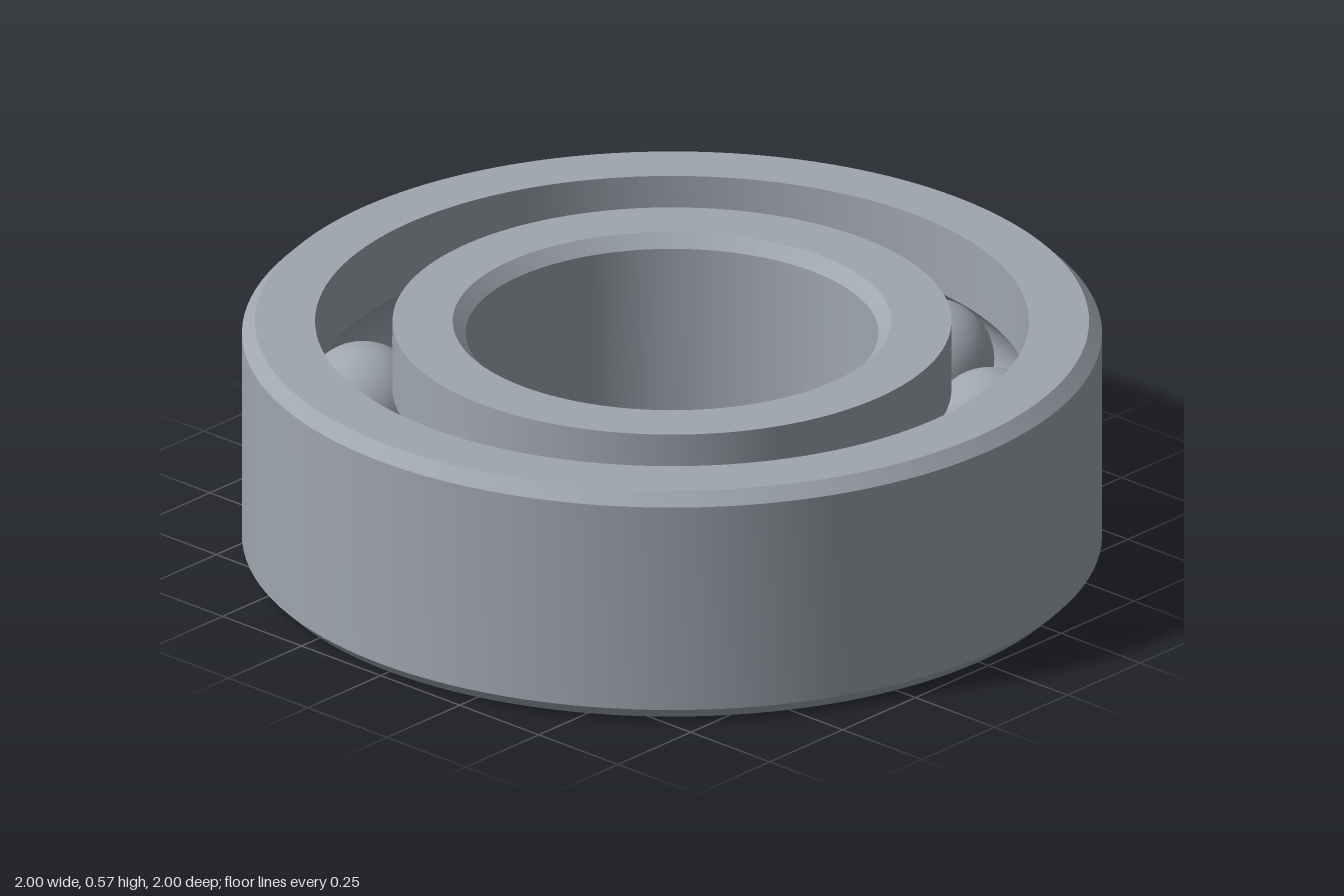
import * as THREE from 'three';
import { toCreasedNormals } from 'three/addons/utils/BufferGeometryUtils.js';

const HEIGHT = 0.575, MID = HEIGHT / 2, CHAMFER = 0.03;
const OUTER_R = 1, OUTER_INNER_R = 0.83;
const INNER_OUTER_R = 0.65, BORE_R = 0.48;
const PITCH_R = 0.74, BALL_R = 0.144, GROOVE_R = 0.146, BALLS = 11;

// Arc of the ball groove, cut into a wall of radius wallR; side +1 bulges outward, -1 inward.
// Runs downward for side +1 and upward for side -1.
function groove(wallR, side, steps = 16) {
  const half = Math.acos(Math.abs(wallR - PITCH_R) / GROOVE_R);
  const points = [];
  for (let i = 0; i <= steps; i++) {
    const a = half - (2 * half * i) / steps;
    points.push([PITCH_R + side * GROOVE_R * Math.cos(a), MID + side * GROOVE_R * Math.sin(a)]);
  }
  return points;
}

// Revolves a counter-clockwise (radius, y) section, keeping the hard edges sharp.
function ring(name, section, material) {
  const points = [...section, section[0]].map(([r, y]) => new THREE.Vector2(r, y));
  const geometry = toCreasedNormals(new THREE.LatheGeometry(points, 128), 0.5);
  const mesh = new THREE.Mesh(geometry, material);
  mesh.name = name;
  return mesh;
}

export function createModel() {
  const model = new THREE.Group();
  model.name = 'ballBearing';
  const steel = new THREE.MeshStandardMaterial({ color: 0x9fa6b0 });
  steel.name = 'steel';

  // Outer race, chamfered on its outside edges
  model.add(ring('outerRace', [
    [OUTER_INNER_R, 0],
    [OUTER_R - CHAMFER, 0],
    [OUTER_R, CHAMFER],
    [OUTER_R, HEIGHT - CHAMFER],
    [OUTER_R - CHAMFER, HEIGHT],
    [OUTER_INNER_R, HEIGHT],
    ...groove(OUTER_INNER_R, 1),
  ], steel));

  // Inner race, chamfered around the bore
  model.add(ring('innerRace', [
    [BORE_R + CHAMFER, 0],
    [INNER_OUTER_R, 0],
    ...groove(INNER_OUTER_R, -1),
    [INNER_OUTER_R, HEIGHT],
    [BORE_R + CHAMFER, HEIGHT],
    [BORE_R, HEIGHT - CHAMFER],
    [BORE_R, CHAMFER],
  ], steel));

  // Balls spaced evenly between the races
  const balls = new THREE.Group();
  balls.name = 'balls';
  const ballGeometry = new THREE.SphereGeometry(BALL_R, 40, 24);
  for (let i = 0; i < BALLS; i++) {
    const a = -Math.PI / 2 + ((i + 0.125) * 2 * Math.PI) / BALLS;
    const ball = new THREE.Mesh(ballGeometry, steel);
    ball.name = `ball${i + 1}`;
    ball.position.set(PITCH_R * Math.cos(a), MID, PITCH_R * Math.sin(a));
    balls.add(ball);
  }
  model.add(balls);

  return model;
}
